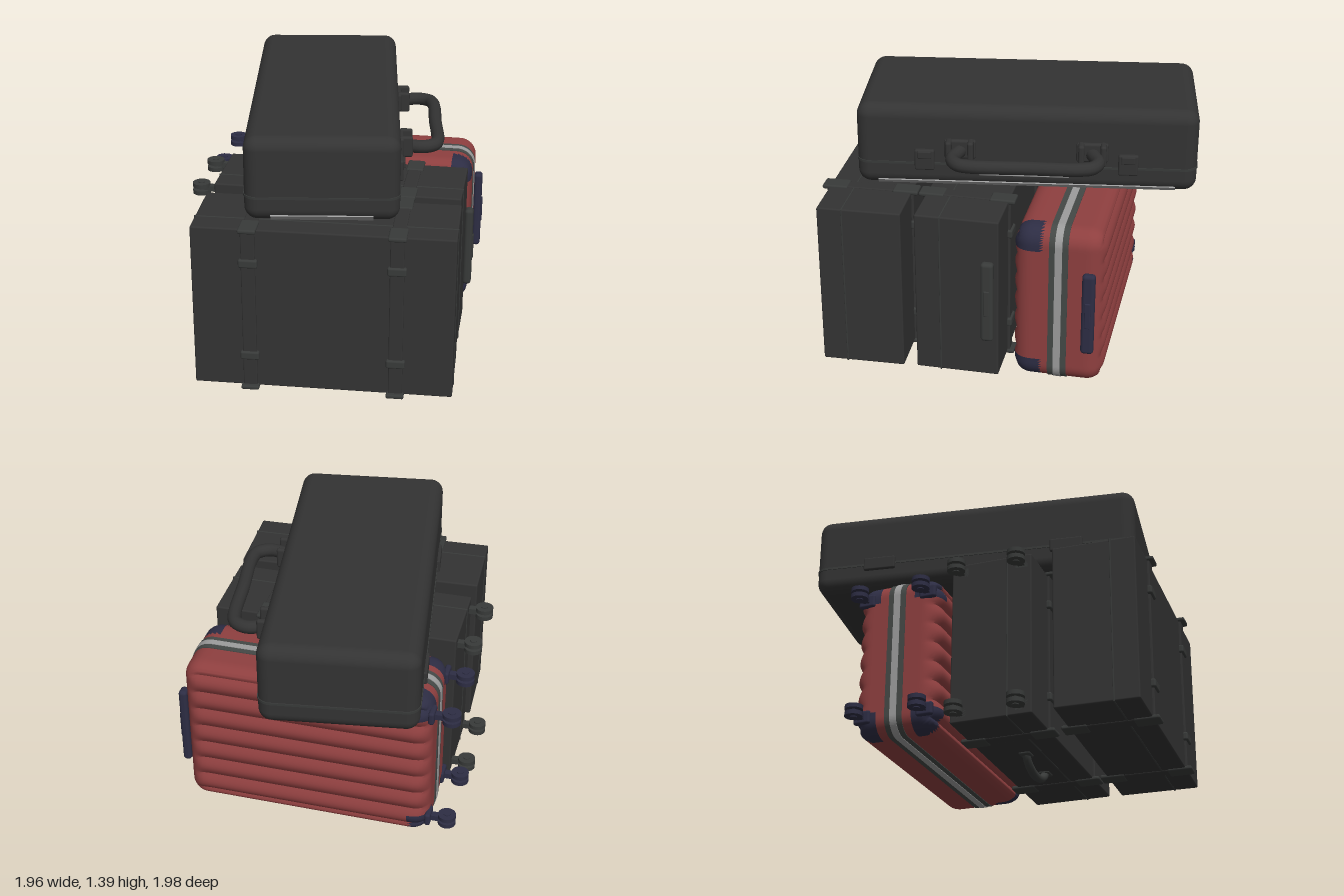
import * as THREE from 'three';
import { mergeVertices, toCreasedNormals } from 'three/addons/utils/BufferGeometryUtils.js';
import { RoundedBoxGeometry } from 'three/addons/geometries/RoundedBoxGeometry.js';

const mat = (name, color) => {
  const m = new THREE.MeshStandardMaterial({ color });
  m.name = name;
  return m;
};
const charcoal = mat('charcoal', 0x333333);
const strapGrey = mat('strap grey', 0x383a39);
const red = mat('red', 0x8e3f3f);
const navy = mat('navy', 0x2d2d44);
const zipGrey = mat('zip grey', 0x444846);
const silver = mat('silver', 0x9c9c9c);

function add(parent, name, geo, material, x = 0, y = 0, z = 0) {
  const m = new THREE.Mesh(geo, material);
  m.name = name;
  m.position.set(x, y, z);
  parent.add(m);
  return m;
}
const box = (w, h, d) => new THREE.BoxGeometry(w, h, d);
const rbox = (w, h, d, r) => new RoundedBoxGeometry(w, h, d, 3, r);

function group(parent, name, x, y, z, degrees) {
  const g = new THREE.Group();
  g.name = name;
  g.position.set(x, y, z);
  g.rotation.y = THREE.MathUtils.degToRad(degrees);
  parent.add(g);
  return g;
}

// Rounded rectangle slab, extruded along z and centred
function slab(w, h, r, depth) {
  const s = new THREE.Shape();
  const a = w / 2, b = h / 2;
  s.absarc(a - r, b - r, r, 0, Math.PI / 2);
  s.absarc(-a + r, b - r, r, Math.PI / 2, Math.PI);
  s.absarc(-a + r, -b + r, r, Math.PI, Math.PI * 1.5);
  s.absarc(a - r, -b + r, r, Math.PI * 1.5, Math.PI * 2);
  const g = new THREE.ExtrudeGeometry(s, { depth, bevelEnabled: false, curveSegments: 10 });
  return g.translate(0, 0, -depth / 2);
}

// Four twin-disc casters on the rear end
function casters(parent, sx, sy, z, material) {
  for (const x of [-sx, sx]) for (const y of [-sy, sy]) {
    const c = group(parent, 'caster', x, y, z, 0);
    for (const dy of [-0.018, 0.018]) {
      add(c, 'wheel', new THREE.CylinderGeometry(0.046, 0.046, 0.022, 20), material, 0, dy, 0);
    }
    add(c, 'wheelHub', new THREE.CylinderGeometry(0.018, 0.018, 0.068, 12), material);
    add(c, 'wheelStem', box(0.035, 0.03, 0.09), material, 0, 0, 0.06);
    add(c, 'wheelPlate', rbox(0.09, 0.07, 0.03, 0.012), material, 0, 0, 0.095);
  }
}

// Grip standing on the front end
function frontGrip(parent, x, z, material) {
  add(parent, 'frontGrip', rbox(0.065, 0.44, 0.045, 0.018), material, x, 0, z + 0.02);
  add(parent, 'gripInset', rbox(0.03, 0.14, 0.012, 0.005), material, x, 0, z + 0.042);
}

// Upright trunk with two straps around it
function trunk(parent, name, x, z, degrees, length) {
  const W = 0.425, H = 0.865;
  const t = group(parent, name, x, 0.522, z, degrees);
  add(t, 'trunkBody', rbox(W, H, length, 0.008), charcoal);
  add(t, 'lidSeam', rbox(0.008, H + 0.006, length + 0.006, 0.003), strapGrey, -0.085, 0, 0);
  for (const sz of [-0.365, 0.365]) {
    add(t, 'strap', rbox(W + 0.024, H + 0.012, 0.07, 0.006), charcoal, 0, 0, sz);
    for (const sx of [-1, 1]) {
      for (const y of [-0.255, 0.255]) {
        add(t, 'strapLoop', rbox(0.03, 0.045, 0.095, 0.01), strapGrey, sx * (W / 2 + 0.008), y, sz);
      }
      for (const sy of [-1, 1]) {
        add(t, 'strapCorner', rbox(0.13, 0.022, 0.09, 0.009), strapGrey, sx * (W / 2 - 0.03), sy * H / 2, sz);
      }
    }
  }
  return t;
}

// Ribbed rounded shell, returned as [shell, corner guards]
function ribbedShell(w, h, l, r) {
  let g = new THREE.BoxGeometry(w, h, l, 24, 64, 48);
  g.deleteAttribute('uv');
  g.deleteAttribute('normal');
  g = mergeVertices(g);
  const p = g.attributes.position;
  const half = new THREE.Vector3(w / 2 - r, h / 2 - r, l / 2 - r);
  const v = new THREE.Vector3(), core = new THREE.Vector3();
  for (let i = 0; i < p.count; i++) {
    v.fromBufferAttribute(p, i);
    core.copy(v).clamp(half.clone().negate(), half);
    v.sub(core).normalize();
    const fade = 1 - THREE.MathUtils.smoothstep(core.z + v.z * r, 0.54, 0.62);
    const groove = 0.022 * (1 - Math.abs(Math.cos(Math.PI * 8 * p.getY(i) / h))) * v.x * fade;
    core.addScaledVector(v, r);
    p.setXYZ(i, core.x - groove, core.y, core.z);
  }
  g = toCreasedNormals(g, 0.75);
  const parts = [{ p: [], n: [] }, { p: [], n: [] }];
  const P = g.attributes.position.array, N = g.attributes.normal.array;
  for (let i = 0; i < P.length; i += 9) {
    const mid = k => (P[i + k] + P[i + 3 + k] + P[i + 6 + k]) / 3;
    const x = mid(0), y = Math.abs(mid(1)), z = mid(2);
    const guard = y > 0.3 && ((z > 0.53 && x < -0.085) || (z < -0.54 && Math.abs(x) > 0.1));
    const part = parts[guard ? 1 : 0];
    part.p.push(...P.subarray(i, i + 9));
    part.n.push(...N.subarray(i, i + 9));
  }
  return parts.map(q => {
    const out = new THREE.BufferGeometry();
    out.setAttribute('position', new THREE.Float32BufferAttribute(q.p, 3));
    out.setAttribute('normal', new THREE.Float32BufferAttribute(q.n, 3));
    return out;
  });
}

function redSuitcase(parent) {
  const W = 0.46, H = 0.845, L = 1.275;
  const s = group(parent, 'redSuitcase', 0.432, 0.52, -0.225, 32.5);
  const [shell, guards] = ribbedShell(W, H, L, 0.09);
  add(s, 'ribbedShell', shell, red);
  add(s, 'cornerGuards', guards, navy);
  // Zip band around the middle
  add(s, 'zipBand', slab(L + 0.008, H + 0.008, 0.094, 0.095).rotateY(Math.PI / 2), zipGrey);
  add(s, 'zipTeeth', slab(L + 0.014, H + 0.014, 0.097, 0.036).rotateY(Math.PI / 2), silver);
  frontGrip(s, 0.155, L / 2, navy);
  casters(s, 0.17, 0.325, -0.73, navy);
}

function briefcase(parent) {
  const W = 1.71, H = 0.43, D = 0.76;
  const b = group(parent, 'briefcase', 0.108, 1.18, -0.177, 41);
  add(b, 'caseBody', new RoundedBoxGeometry(W, H, D, 6, 0.065), charcoal);
  add(b, 'lidSeam', slab(W + 0.008, D + 0.008, 0.069, 0.012).rotateX(Math.PI / 2), strapGrey, 0, -0.088, 0);
  // Bright trim along the lower edges
  add(b, 'frontTrim', box(1.5, 0.034, 0.006), silver, 0, -H / 2 + 0.018, D / 2 - 0.017).rotation.x = Math.PI / 4;
  add(b, 'endTrim', box(0.006, 0.045, 0.5), silver, -W / 2 + 0.017, -H / 2 + 0.02, 0).rotation.z = Math.PI / 4;
  for (const s of [-1, 1]) {
    add(b, 'latch', rbox(0.1, 0.11, 0.03, 0.01), charcoal, s * 0.51, -0.065, D / 2 + 0.006);
    add(b, 'latchTab', rbox(0.07, 0.04, 0.02, 0.006), charcoal, s * 0.51, -0.035, D / 2 + 0.02);
    add(b, 'hinge', rbox(0.17, 0.07, 0.024, 0.008), charcoal, s * 0.5, -0.088, -D / 2 - 0.004);
    add(b, 'handleMount', rbox(0.16, 0.1, 0.03, 0.012), charcoal, s * 0.33, 0.0, D / 2 + 0.01);
    for (const dx of [-0.055, 0.055]) {
      add(b, 'mountLug', rbox(0.03, 0.11, 0.07, 0.012), charcoal, s * 0.33 + dx, 0.0, D / 2 + 0.035);
    }
  }
  // Carrying handle, standing out from the front
  const pts = [[-0.33, 0.39], [-0.36, 0.5], [-0.33, 0.56], [-0.27, 0.58], [0, 0.58],
    [0.27, 0.58], [0.33, 0.56], [0.36, 0.5], [0.33, 0.39]];
  const path = new THREE.CatmullRomCurve3(pts.map(([x, z]) => new THREE.Vector3(x, -0.01, z)));
  add(b, 'handle', new THREE.TubeGeometry(path, 60, 0.034, 12), charcoal);
  add(b, 'handleCore', rbox(0.44, 0.012, 0.03, 0.004), silver, 0, -0.043, 0.58);
}

export function createModel() {
  const model = new THREE.Group();
  model.name = 'luggageStack';

  trunk(model, 'leftTrunk', -0.437, 0.331, 35, 1.3);

  const middle = trunk(model, 'middleTrunk', -0.009, 0.046, 33, 1.28);
  frontGrip(middle, 0.16, 0.64, strapGrey);
  casters(middle, 0.16, 0.385, -0.72, strapGrey);
  // Carrying handle hanging below the middle trunk
  const arc = new THREE.EllipseCurve(0, 0, 0.15, 0.09, Math.PI, Math.PI * 2);
  const loop = new THREE.CatmullRomCurve3(arc.getPoints(16).map(q => new THREE.Vector3(0, q.y, q.x)));
  add(middle, 'bottomHandle', new THREE.TubeGeometry(loop, 32, 0.022, 10), strapGrey, 0, -0.41, 0.02);
  for (const z of [-0.13, 0.17]) {
    add(middle, 'handleMount', rbox(0.06, 0.02, 0.07, 0.008), strapGrey, 0, -0.433, z);
  }

  redSuitcase(model);
  briefcase(model);
  return model;
}
